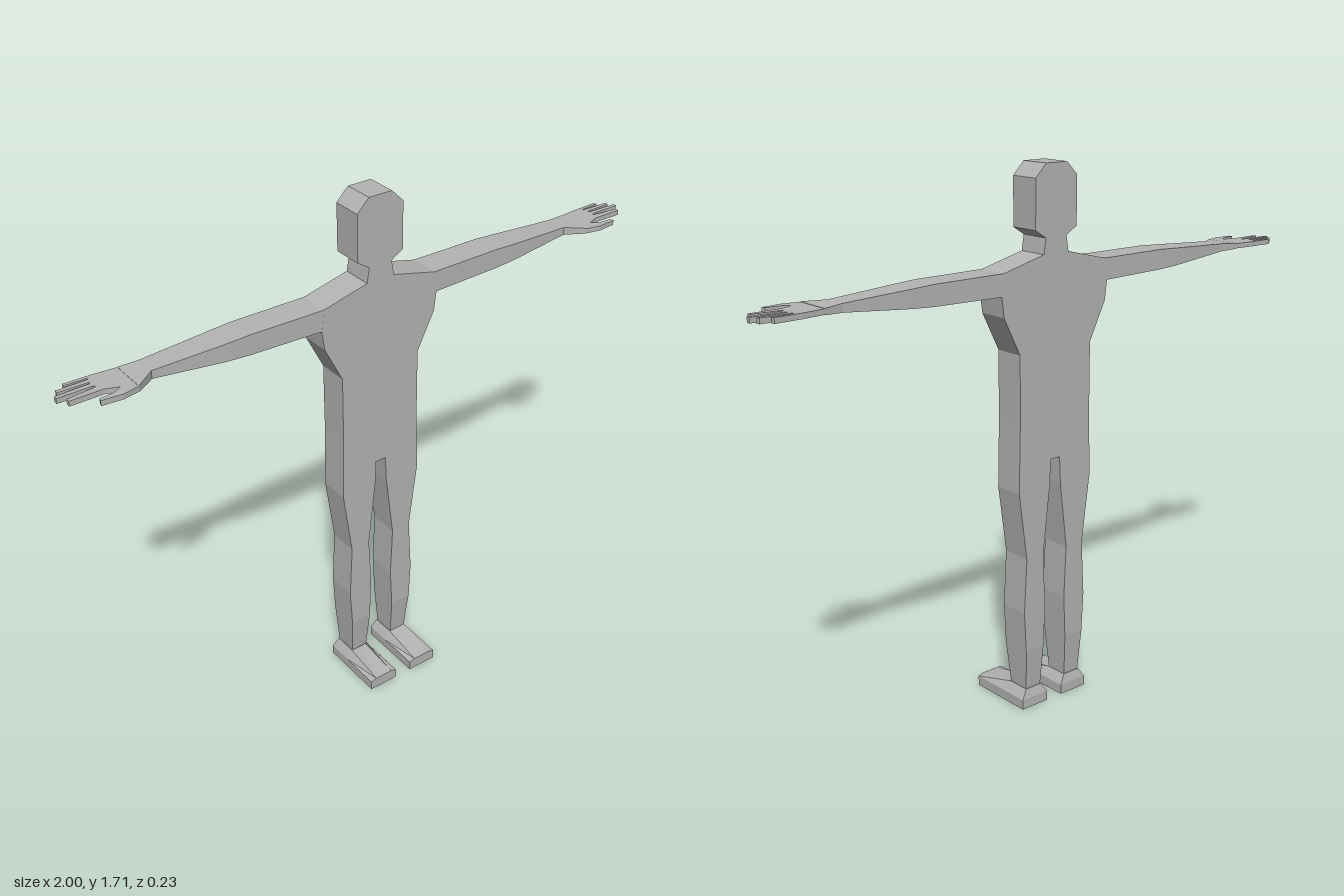
import * as THREE from 'three';

const BACK = -0.11, FRONT = -0.01;

// Skin a list of equal-length rings, counter-clockwise about the direction of travel, with end caps.
function loft(rings) {
  const pos = [];
  const tri = (...pts) => pts.forEach((p) => pos.push(...p));
  const n = rings[0].length;
  for (let r = 0; r < rings.length - 1; r++) {
    const a = rings[r], b = rings[r + 1];
    for (let i = 0; i < n; i++) {
      const j = (i + 1) % n;
      tri(a[i], a[j], b[j]);
      tri(a[i], b[j], b[i]);
    }
  }
  const first = rings[0], last = rings[rings.length - 1];
  for (let i = 1; i < n - 1; i++) {
    tri(first[0], first[i + 1], first[i]);
    tri(last[0], last[i], last[i + 1]);
  }
  const geo = new THREE.BufferGeometry();
  geo.setAttribute('position', new THREE.Float32BufferAttribute(pos, 3));
  geo.computeVertexNormals();
  return geo;
}

// Mirror rings across x for the right side, keeping the faces outward.
function sided(rings, s) {
  if (s > 0) return rings;
  return rings.map((ring) => ring.map(([x, y, z]) => [-x, y, z]).reverse());
}

const armRing = ([x, y0, y1, z0, z1]) => [[x, y0, z0], [x, y1, z0], [x, y1, z1], [x, y0, z1]];
const legRing = ([y, x0, x1, z0, z1]) => [[x0, y, z0], [x0, y, z1], [x1, y, z1], [x1, y, z0]];

export function createModel() {
  const model = new THREE.Group();
  model.name = 'figure';
  const grey = new THREE.MeshStandardMaterial({ color: 0xb4b4b4 });
  grey.name = 'plain grey';
  const add = (name, geo) => {
    const mesh = new THREE.Mesh(geo, grey);
    mesh.name = name;
    model.add(mesh);
  };

  // Head, torso and upper legs: half outline, mirrored and extruded
  const half = [
    [0.04, 1.71], [0.08, 1.67], [0.08, 1.52], [0.04, 1.495], [0.048, 1.447],
    [0.2, 1.41], [0.208, 1.34], [0.2, 1.28], [0.14, 1.16], [0.14, 0.95],
    [0.145, 0.73], [0.115, 0.51], [0.125, 0.33], [0.118, 0.2],
    [0.046, 0.2], [0.04, 0.34], [0.048, 0.51], [0.022, 0.73], [0.018, 0.815],
  ];
  const outline = [...half, ...half.map(([x, y]) => [-x, y]).reverse()];
  const body = new THREE.ExtrudeGeometry(
    new THREE.Shape(outline.map(([x, y]) => new THREE.Vector2(x, y))),
    { depth: FRONT - BACK, bevelEnabled: false });
  add('body', body.translate(0, 0, BACK));

  // Hand outline seen from above (x, z), from the wrist round the fingers to the thumb
  const hand = [
    [0.8, -0.108], [0.87, -0.115], [0.955, -0.118], [0.957, -0.107], [0.89, -0.104],
    [0.89, -0.099], [0.985, -0.097], [0.987, -0.085], [0.895, -0.083],
    [0.895, -0.076], [1.0, -0.073], [1.0, -0.06], [0.895, -0.06],
    [0.89, -0.053], [0.98, -0.042], [0.98, -0.029], [0.88, -0.03],
    [0.84, -0.014], [0.87, 0.002], [0.91, 0.005], [0.913, 0.017],
    [0.85, 0.023], [0.8, 0.012],
  ];

  for (const s of [1, -1]) {
    const side = s > 0 ? 'left' : 'right';

    // Arm tapering to the wrist, then widening into the palm
    add(side + 'Arm', loft(sided([
      [0.19, 1.342, 1.41, BACK, FRONT],
      [0.445, 1.347, 1.41, BACK, -0.014],
      [0.52, 1.351, 1.406, -0.108, -0.016],
      [0.74, 1.37, 1.395, -0.1, -0.03],
      [0.8, 1.373, 1.391, -0.108, 0.012],
    ].map(armRing), s)));

    // Flat hand with fingers and thumb
    const palm = new THREE.ExtrudeGeometry(
      new THREE.Shape(hand.map(([x, z]) => new THREE.Vector2(s * x, -z))),
      { depth: 0.016, bevelEnabled: false });
    add(side + 'Hand', palm.rotateX(-Math.PI / 2).translate(0, 1.374, 0));

    // Lower leg narrowing to the ankle
    add(side + 'Shin', loft(sided([
      [0.06, 0.052, 0.11, -0.1, -0.026],
      [0.2, 0.046, 0.118, BACK, FRONT],
    ].map(legRing), s)));

    // Foot: flat sole with a bevelled upper sloping from ankle to toe
    const sole = (y) => [
      [0.03, y, -0.026], [0.03, y, 0.115], [0.132, y, 0.115],
      [0.132, y, -0.026], [0.132, y, BACK], [0.03, y, BACK],
    ];
    const upper = [
      [0.05, 0.062, -0.026], [0.05, 0.038, 0.115], [0.112, 0.038, 0.115],
      [0.112, 0.062, -0.026], [0.112, 0.062, -0.102], [0.05, 0.062, -0.102],
    ];
    add(side + 'Foot', loft(sided([sole(0), sole(0.032), upper], s)));
  }
  return model;
}
